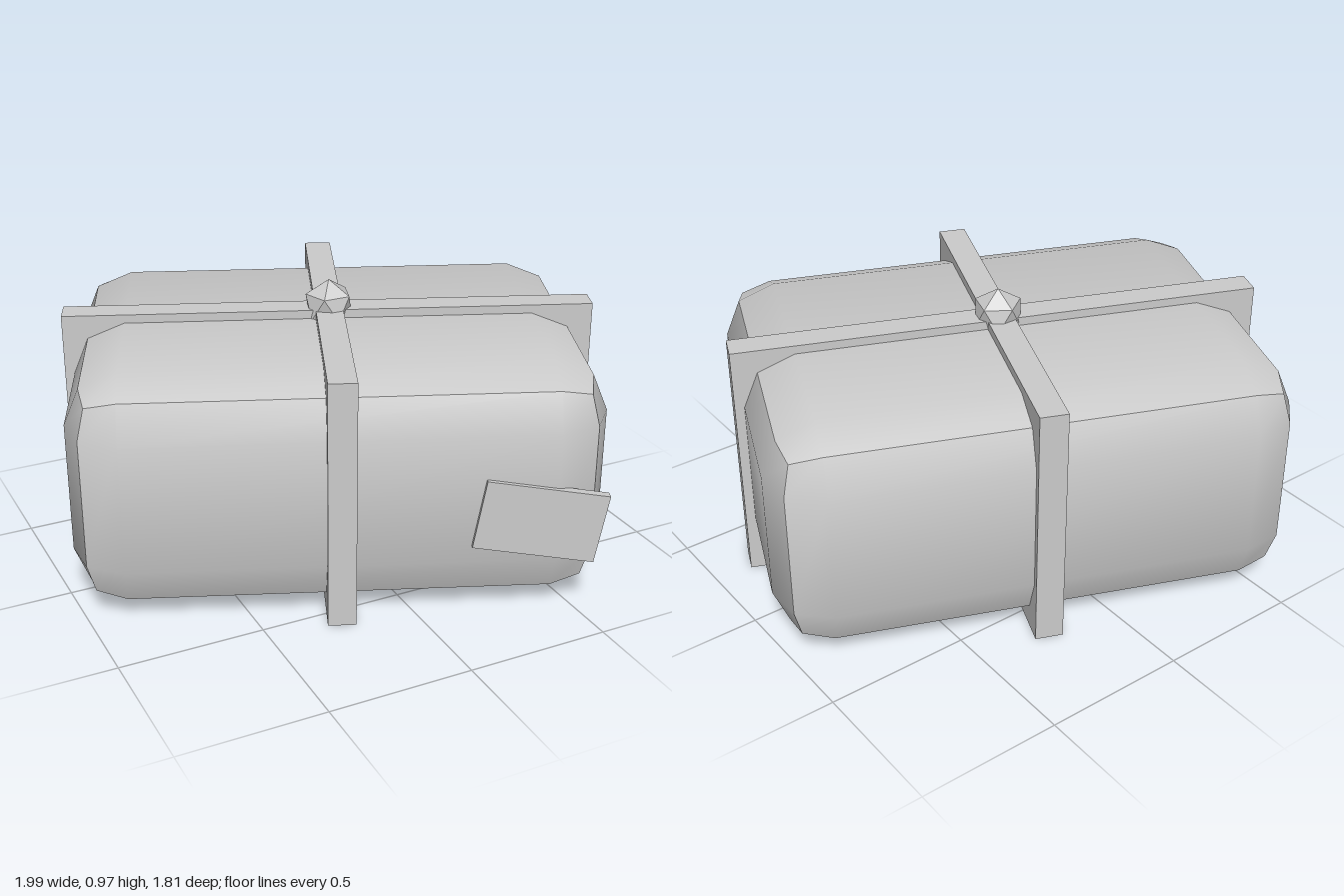
import * as THREE from 'three';
import { RoundedBoxGeometry } from 'three/addons/geometries/RoundedBoxGeometry.js';
import { toCreasedNormals } from 'three/addons/utils/BufferGeometryUtils.js';

const HEIGHT = 0.875;
const TURN = -0.384;

export function createModel() {
  const grey = new THREE.MeshStandardMaterial({ color: 0xcccccc });
  grey.name = 'paleGrey';

  const model = new THREE.Group();
  model.name = 'parcel';
  model.position.z = -0.037;
  model.rotation.y = TURN;

  const add = (name, geometry, x, y, z) => {
    const mesh = new THREE.Mesh(geometry, grey);
    mesh.name = name;
    mesh.position.set(x, y, z);
    model.add(mesh);
    return mesh;
  };

  // Padded package: one bevel step per edge, soft faces meeting at sharp ridges
  const body = toCreasedNormals(new RoundedBoxGeometry(1.77, 0.815, 1.3, 1, 0.18), 0.6);
  add('package', body, 0, HEIGHT / 2, 0);

  // Two crossing bands around the package
  add('longBand', new THREE.BoxGeometry(1.835, HEIGHT, 0.095), 0, HEIGHT / 2, 0);
  add('crossBand', new THREE.BoxGeometry(0.095, HEIGHT, 1.35), 0, HEIGHT / 2, 0);

  // Faceted knot with one vertex pointing up, squared to the front
  const knot = new THREE.IcosahedronGeometry(0.09, 0);
  knot.rotateX(-Math.atan2((1 + Math.sqrt(5)) / 2, 1));
  knot.rotateY(Math.PI - TURN);
  add('knot', knot, 0, 0.88, 0);

  // Tilted label on the front face
  const label = add('label', new THREE.BoxGeometry(0.41, 0.245, 0.03), 0.648, 0.358, 0.65);
  label.rotation.z = -0.17;

  const root = new THREE.Group();
  root.name = 'wrappedParcel';
  root.add(model);
  return root;
}
